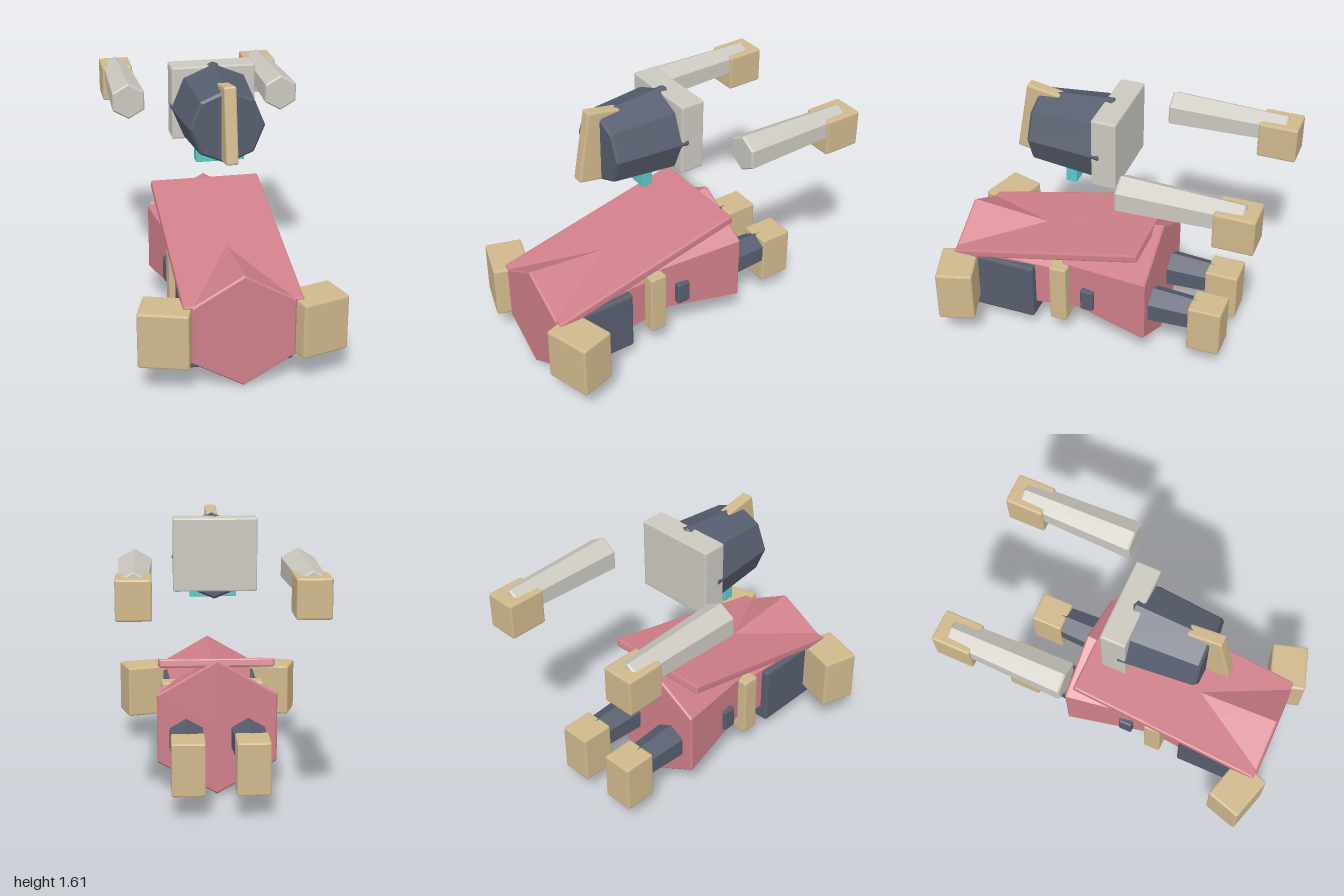
import * as THREE from 'three';
import { toCreasedNormals } from 'three/addons/utils/BufferGeometryUtils.js';
import { RoundedBoxGeometry } from 'three/addons/geometries/RoundedBoxGeometry.js';

const paint = (name, color) => {
  const m = new THREE.MeshStandardMaterial({ color });
  m.name = name;
  return m;
};

export function createModel() {
  const model = new THREE.Group();
  model.name = 'robot';
  const pink = paint('pink', 0xcf7f89);
  const tan = paint('tan', 0xcfb88c);
  const slate = paint('slate', 0x565d6d);
  const grey = paint('lightGrey', 0xcbc8c0);
  const cyan = paint('cyan', 0x5cc8cc);

  const add = (name, geometry, material, x, y, z) => {
    const mesh = new THREE.Mesh(toCreasedNormals(geometry, 0.2), material);
    mesh.name = name;
    mesh.position.set(x, y, z);
    model.add(mesh);
    return mesh;
  };

  // Chamfered block given by its centre and size
  const block = (name, material, [x, y, z], [w, h, d], bevel = 0.01) =>
    add(name, new RoundedBoxGeometry(w, h, d, 1, bevel), material, x, y, z);

  // Tapered, chamfered prism along z, with a corner pointing up
  const prism = (name, material, sides, x, y, zBack, rBack, zFront, rFront, bevel = 0.01) => {
    const profile = [
      [0, zBack], [rBack - bevel, zBack], [rBack, zBack + bevel],
      [rFront, zFront - bevel], [rFront - bevel, zFront], [0, zFront],
    ].map(([r, z]) => new THREE.Vector2(r, z));
    const geometry = new THREE.LatheGeometry(profile, sides).rotateX(Math.PI / 2);
    return add(name, geometry, material, x, y, 0);
  };

  // Body: two hexagonal cones meeting at a waist, with a sloping back plate
  prism('frontHull', pink, 6, 0, 0.355, -0.05, 0.251, 0.915, 0.337);
  prism('rearHull', pink, 6, 0, 0.41, -0.335, 0.403, 0.23, 0.285);
  block('backPlate', pink, [0, 0.646, 0.315], [0.67, 0.05, 1.215]).rotation.x = 0.233;

  // Head with square back panel, crest and neck
  prism('head', slate, 8, 0, 1.367, -0.025, 0.252, 0.435, 0.214, 0.014);
  block('headBackPanel', grey, [0, 1.39, -0.042], [0.49, 0.43, 0.148]);
  block('crest', tan, [0, 1.391, 0.437], [0.07, 0.43, 0.205]).rotation.x = -0.175;
  block('neck', cyan, [0, 1.141, 0.194], [0.28, 0.088, 0.066], 0.003);

  // Paired parts
  for (const [side, s] of [['left', 1], ['right', -1]]) {
    block(side + 'FrontFoot', tan, [s * 0.4225, 0.355, 0.845], [0.285, 0.33, 0.222], 0.012)
      .rotation.y = s * 0.295;
    block(side + 'HipBlock', slate, [s * 0.195, 0.304, 0.62], [0.21, 0.38, 0.435], 0.015);
    block(side + 'WaistStrap', tan, [s * 0.25, 0.358, 0.232], [0.13, 0.39, 0.108]);
    block(side + 'Vent', slate, [s * 0.275, 0.355, 0.047], [0.07, 0.14, 0.085]);

    prism(side + 'RearLeg', slate, 6, s * 0.18, 0.357, -0.62, 0.1, -0.25, 0.117);
    block(side + 'RearFoot', tan, [s * 0.18, 0.303, -0.68], [0.19, 0.306, 0.202]);

    prism(side + 'Arm', grey, 6, s * 0.465, 1.338, -0.925, 0.088, -0.222, 0.11);
    block(side + 'Hand', tan, [s * 0.465, 1.288, -0.884], [0.19, 0.218, 0.23]);
  }
  return model;
}
